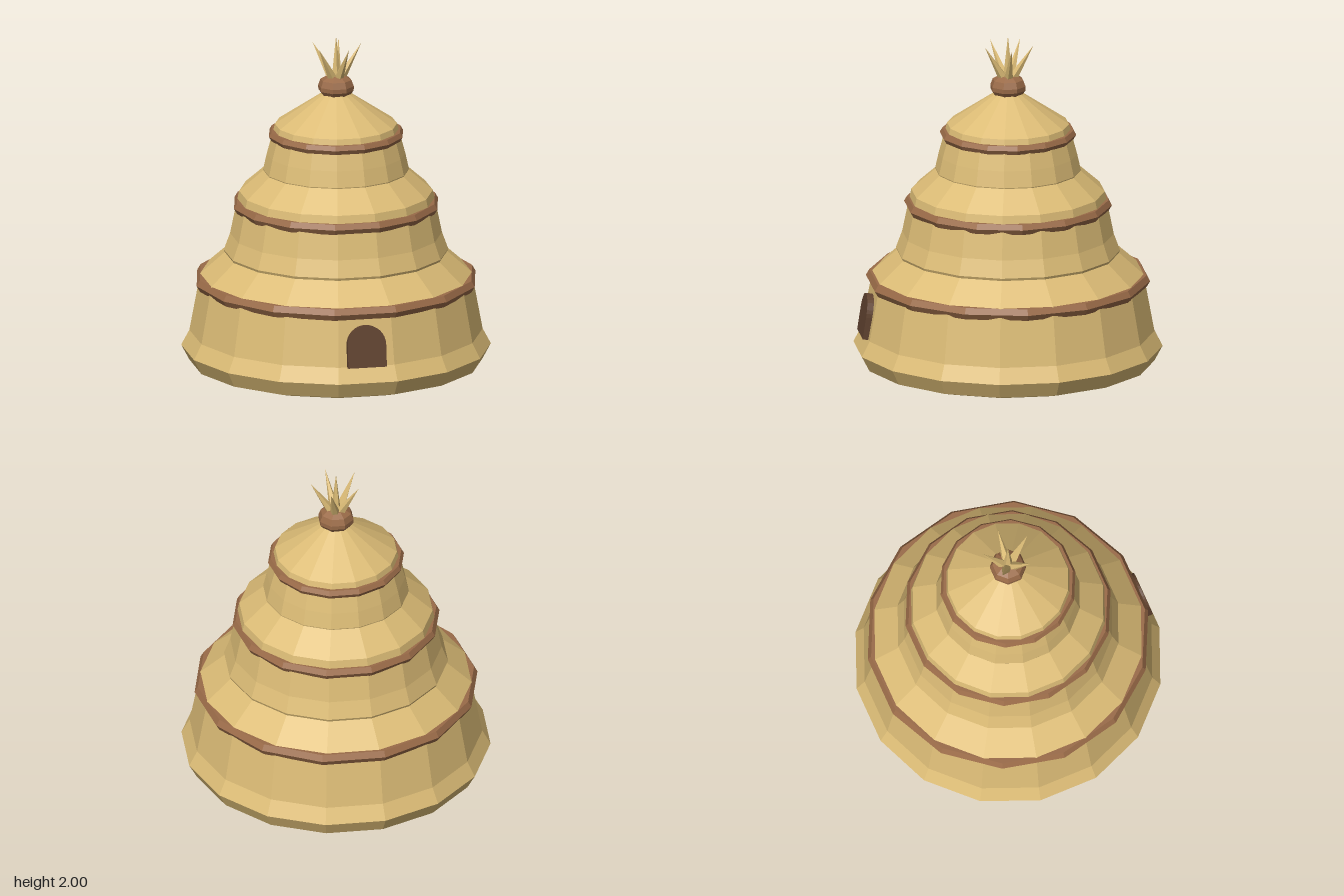
import * as THREE from 'three';

const SIDES = 16;

function material(name, color) {
  const m = new THREE.MeshStandardMaterial({ color, flatShading: true });
  m.name = name;
  return m;
}

export function createModel() {
  const group = new THREE.Group();
  const straw = material('straw', 0xdcbc76);
  const rope = material('rope brown', 0x9a6b48);
  const darkWood = material('dark wood', 0x60422f);

  function add(name, geometry, mat) {
    const mesh = new THREE.Mesh(geometry, mat);
    mesh.name = name;
    group.add(mesh);
    return mesh;
  }

  // Faceted lathe with a flat side facing front; profile gives half-widths across flats
  function facetedLathe(profile, sides) {
    const k = 1 / Math.cos(Math.PI / sides);
    const points = profile.map(([r, y]) => new THREE.Vector2(r * k, y));
    return new THREE.LatheGeometry(points, sides, Math.PI / sides);
  }

  // Three stacked straw tiers, each with a wall and a sloping roof
  add('lowerTier', facetedLathe([
    [0, 0], [0.69, 0], [0.84, 0.045], [0.887, 0.135], [0.84, 0.225],
    [0.79, 0.5], [0.78, 0.565], [0.62, 0.71], [0, 0.71],
  ], SIDES), straw);
  add('middleTier', facetedLathe([
    [0, 0.69], [0.635, 0.69], [0.643, 0.71], [0.607, 0.81],
    [0.575, 0.97], [0.555, 1.065], [0.41, 1.195], [0, 1.195],
  ], SIDES), straw);
  add('upperTier', facetedLathe([
    [0, 1.185], [0.415, 1.185], [0.418, 1.195], [0.397, 1.29],
    [0.368, 1.4], [0.35, 1.47], [0.08, 1.655], [0, 1.67],
  ], SIDES), straw);

  // Rope bands: radius, height, thickness
  [[0.793, 0.532, 0.04], [0.573, 0.987, 0.036], [0.37, 1.41, 0.03]].forEach(([r, y, t], i) => {
    const band = new THREE.TorusGeometry(r, t, 6, 14);
    band.rotateX(Math.PI / 2);
    band.translate(0, y, 0);
    add('ropeBand' + (i + 1), band, rope);
  });

  // Knot binding the tip of the roof
  add('topKnot', facetedLathe([
    [0, 1.63], [0.07, 1.635], [0.097, 1.675], [0.098, 1.7],
    [0.085, 1.737], [0.05, 1.76], [0, 1.772],
  ], 8), rope);

  // Straw tuft: one upright spike and five leaning outwards
  function spike(name, base, tip, radius) {
    const direction = tip.clone().sub(base);
    const length = direction.length();
    const cone = new THREE.ConeGeometry(radius, length, 5);
    cone.translate(0, length / 2, 0);
    const mesh = add(name, cone, straw);
    mesh.position.copy(base);
    mesh.quaternion.setFromUnitVectors(new THREE.Vector3(0, 1, 0), direction.normalize());
  }
  spike('centreSpike', new THREE.Vector3(0, 1.74, 0), new THREE.Vector3(0, 2, 0), 0.03);
  for (let i = 0; i < 5; i++) {
    const a = (i / 5) * Math.PI * 2;
    const c = Math.cos(a), s = Math.sin(a);
    spike('outerSpike' + (i + 1), new THREE.Vector3(c * 0.025, 1.74, s * 0.025),
      new THREE.Vector3(c * 0.15, 1.948, s * 0.15), 0.03);
  }

  // Arched door leaning with the wall
  const arch = new THREE.Shape();
  arch.moveTo(-0.115, 0);
  arch.lineTo(0.115, 0);
  arch.lineTo(0.115, 0.133);
  arch.absarc(0, 0.133, 0.115, 0, Math.PI, false);
  arch.closePath();
  const doorGeometry = new THREE.ExtrudeGeometry(arch, { depth: 0.06, bevelEnabled: false, curveSegments: 8 });
  doorGeometry.translate(0, 0, -0.06);
  const door = add('door', doorGeometry, darkWood);
  door.position.set(0, 0.225, 0.873);
  door.rotation.x = -0.15;

  return group;
}
